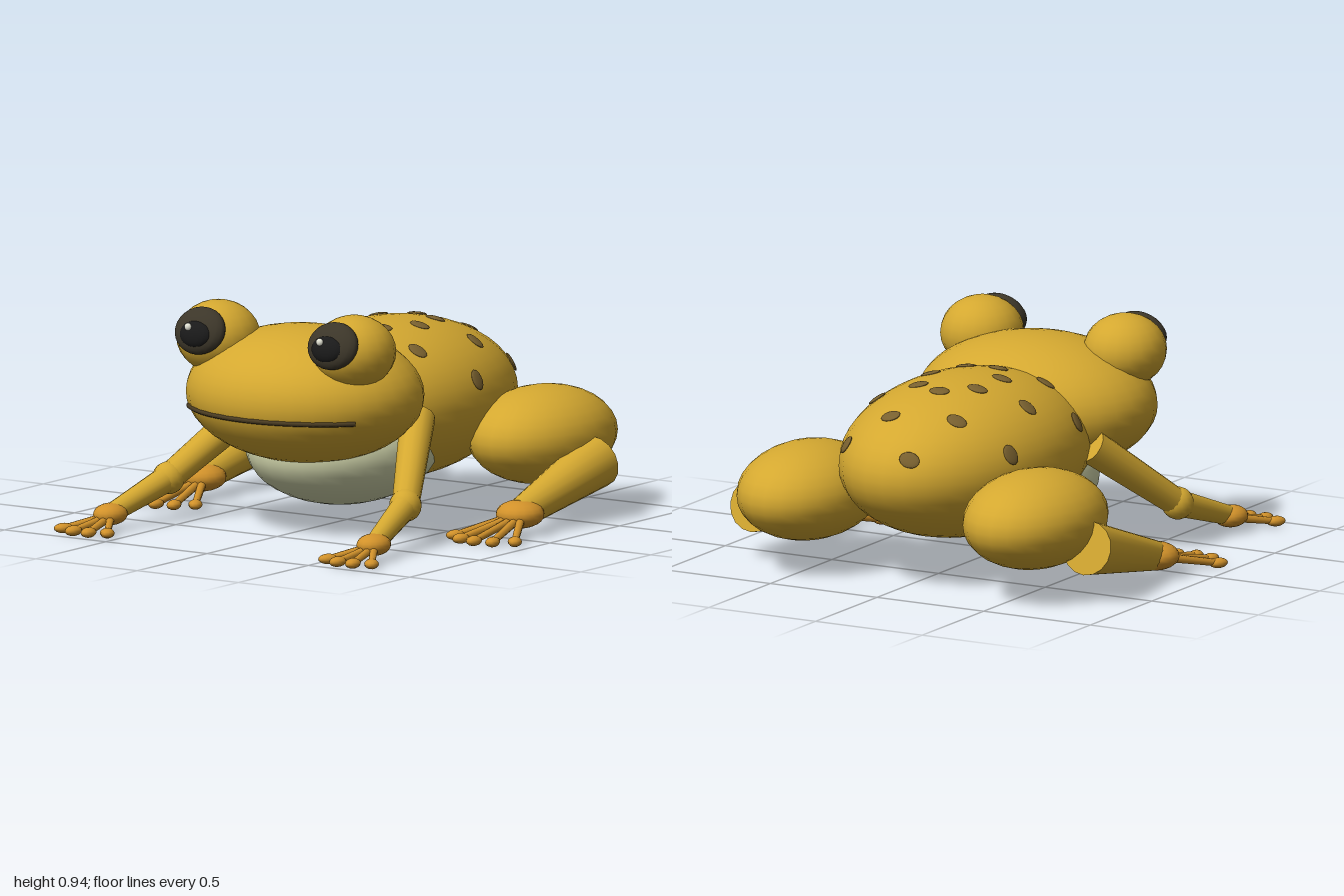
import * as THREE from 'three';

const material = (name, color) => {
  const m = new THREE.MeshStandardMaterial({ color });
  m.name = name;
  return m;
};

export function createModel() {
  const skin = material('golden skin', 0xd4a830);
  const orange = material('orange feet', 0xd2922a);
  const pale = material('pale belly', 0xd2d6ac);
  const brown = material('brown spots', 0x78602f);
  const mouthColor = material('dark mouth', 0x4a3c22);
  const irisColor = material('dark iris', 0x3c3629);
  const black = material('black pupil', 0x1a1a1a);
  const white = material('eye highlight', 0xf4f4e4);

  const frog = new THREE.Group();
  frog.name = 'frog';

  const add = (parent, name, geometry, mat) => {
    const mesh = new THREE.Mesh(geometry, mat);
    mesh.name = name;
    parent.add(mesh);
    return mesh;
  };
  const ellipsoid = (parent, name, mat, center, radii, w = 20, h = 14) => {
    const mesh = add(parent, name, new THREE.SphereGeometry(1, w, h), mat);
    mesh.position.set(...center);
    mesh.scale.set(...radii);
    return mesh;
  };
  // Tapered limb between two points
  const limb = (parent, name, mat, from, to, r0, r1, sides = 14) => {
    const a = new THREE.Vector3(...from), b = new THREE.Vector3(...to);
    const dir = b.clone().sub(a);
    const mesh = add(parent, name, new THREE.CylinderGeometry(r1, r0, dir.length(), sides), mat);
    mesh.position.copy(a).add(b).multiplyScalar(0.5);
    mesh.quaternion.setFromUnitVectors(new THREE.Vector3(0, 1, 0), dir.normalize());
    return mesh;
  };

  // Torso, belly and head
  const bodyC = [0, 0.47, -0.28], bodyR = [0.45, 0.33, 0.68];
  ellipsoid(frog, 'body', skin, bodyC, bodyR, 32, 24);
  ellipsoid(frog, 'belly', pale, [0, 0.32, 0.03], [0.38, 0.24, 0.43], 28, 20);
  const headC = [0, 0.57, 0.3], headR = [0.51, 0.28, 0.43];
  ellipsoid(frog, 'head', skin, headC, headR, 32, 24);

  // Mouth line wrapped around the head
  const mouthY = 0.513;
  const k = Math.sqrt(1 - ((mouthY - headC[1]) / headR[1]) ** 2);
  const lip = [];
  for (let i = 0; i <= 16; i++) {
    const t = -0.97 + (1.94 * i) / 16;
    lip.push(new THREE.Vector3(headR[0] * k * Math.sin(t), mouthY, headC[2] + headR[2] * k * Math.cos(t)));
  }
  add(frog, 'mouth', new THREE.TubeGeometry(new THREE.CatmullRomCurve3(lip), 32, 0.01, 6), mouthColor);

  // Spots laid on the back, given as x, z
  const spots = [
    [-0.1, -0.91], [0.08, -0.75], [0.265, -0.79], [-0.19, -0.68], [-0.385, -0.58], [-0.025, -0.535],
    [0.105, -0.48], [0.29, -0.495], [-0.14, -0.425], [-0.32, -0.33], [0.155, -0.295], [0.425, -0.315],
    [-0.145, -0.235], [-0.05, -0.1], [0.085, -0.13], [0.28, -0.1], [-0.39, -0.05], [-0.22, -0.01],
  ];
  spots.forEach(([x, z]) => {
    const u = x / bodyR[0], w = (z - bodyC[2]) / bodyR[2];
    const v = Math.sqrt(Math.max(0, 1 - u * u - w * w));
    const normal = new THREE.Vector3(u / bodyR[0], v / bodyR[1], w / bodyR[2]).normalize();
    const spot = ellipsoid(frog, 'spot', brown, [x, bodyC[1] + bodyR[1] * v, z], [0.044, 0.009, 0.034], 14, 8);
    spot.quaternion.setFromUnitVectors(new THREE.Vector3(0, 1, 0), normal);
  });

  // Foot: a rounded pad with fanned toes ending in round tips
  const foot = (parent, name, pad, padR, tips, tipR, toeR) => {
    const group = new THREE.Group();
    group.name = name;
    parent.add(group);
    ellipsoid(group, 'footPad', orange, pad, padR, 16, 12);
    tips.forEach(([x, z]) => {
      const tip = [x, tipR[1] + 0.005, z];
      limb(group, 'toe', orange, [pad[0] + (x - pad[0]) * 0.25, pad[1] - 0.015, pad[2] + padR[2] * 0.5],
        tip, toeR, toeR * 0.8, 8);
      const ball = ellipsoid(group, 'toeTip', orange, tip, tipR, 10, 8);
      ball.rotation.y = Math.atan2(x - pad[0], z - pad[2]);
    });
  };

  [1, -1].forEach((s) => {
    const side = s > 0 ? 'left' : 'right';
    const group = (name) => {
      const g = new THREE.Group();
      g.name = side + name;
      frog.add(g);
      return g;
    };

    // Bulging eye
    const eye = group('Eye');
    ellipsoid(eye, 'eyeball', skin, [s * 0.335, 0.79, 0.435], [0.17, 0.15, 0.175]);
    const iris = ellipsoid(eye, 'iris', irisColor, [s * 0.328, 0.832, 0.575], [0.118, 0.1, 0.052]);
    iris.rotation.x = -0.4;
    const pupil = ellipsoid(eye, 'pupil', black, [s * 0.325, 0.823, 0.612], [0.075, 0.056, 0.033], 16, 12);
    pupil.rotation.x = -0.25;
    ellipsoid(eye, 'highlight', white, [s * 0.325 - 0.02, 0.855, 0.638], [0.016, 0.016, 0.012], 10, 8);

    // Front leg
    const front = group('FrontLeg');
    const elbow = [s * 0.585, 0.18, 0.43], wrist = [s * 0.65, 0.07, 0.75];
    limb(front, 'upperArm', skin, [s * 0.39, 0.47, 0.06], elbow, 0.072, 0.056);
    ellipsoid(front, 'elbow', skin, elbow, [0.067, 0.067, 0.067], 16, 12);
    limb(front, 'forearm', skin, elbow, wrist, 0.056, 0.04);
    foot(front, 'frontFoot', wrist, [0.068, 0.045, 0.078],
      [[0.76, 0.925], [0.69, 0.957], [0.615, 0.957], [0.545, 0.925]].map(([x, z]) => [s * x, z]),
      [0.03, 0.021, 0.042], 0.017);

    // Hind leg
    const hind = group('HindLeg');
    ellipsoid(hind, 'thigh', skin, [s * 0.53, 0.322, -0.63], [0.27, 0.2, 0.37], 24, 16);
    const ankle = [s * 0.785, 0.09, -0.1];
    limb(hind, 'shin', skin, [s * 0.78, 0.23, -0.645], ankle, 0.112, 0.062, 16);
    foot(hind, 'hindFoot', ankle, [0.1, 0.058, 0.1],
      [[0.935, 0.155], [0.865, 0.212], [0.785, 0.23], [0.708, 0.212], [0.642, 0.155]].map(([x, z]) => [s * x, z]),
      [0.029, 0.021, 0.041], 0.018);
  });

  return frog;
}
